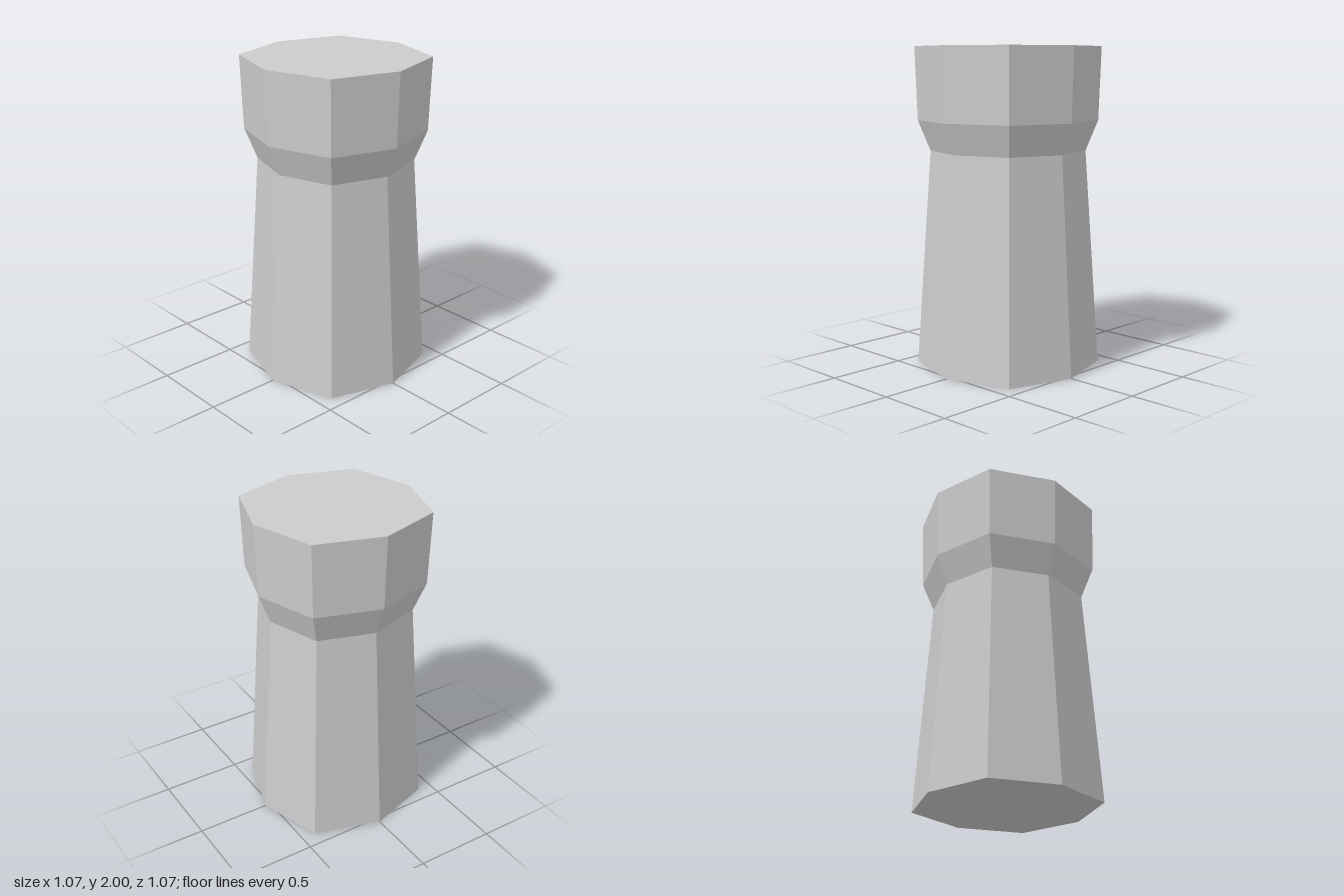
import * as THREE from 'three';

const material = new THREE.MeshStandardMaterial({ color: 0xcccccc, flatShading: true });
const DIAGONAL = 1.075; // diagonal corners stand out further than those on the axes

// Eight-sided section of the tower from a [radius, height] profile, bottom to top
function towerPart(name, profile) {
  const points = profile.map(([r, y]) => new THREE.Vector2(r, y));
  const geometry = new THREE.LatheGeometry(points, 8).toNonIndexed();
  const pos = geometry.attributes.position;
  for (let i = 0; i < pos.count; i++) {
    const x = pos.getX(i), z = pos.getZ(i);
    if (Math.abs(x) > 0.01 && Math.abs(z) > 0.01) {
      pos.setX(i, x * DIAGONAL);
      pos.setZ(i, z * DIAGONAL);
    }
  }
  geometry.computeVertexNormals();
  const mesh = new THREE.Mesh(geometry, material);
  mesh.name = name;
  return mesh;
}

export function createModel() {
  const tower = new THREE.Group();
  tower.name = 'tower';
  tower.add(
    // tapering shaft, closed below
    towerPart('shaft', [[0, 0], [0.537, 0], [0.45, 1.355]]),
    // flare widening to the head
    towerPart('flare', [[0.45, 1.355], [0.522, 1.545]]),
    // head, closed by a flat roof
    towerPart('head', [[0.522, 1.545], [0.537, 2], [0, 2]]),
  );
  return tower;
}
